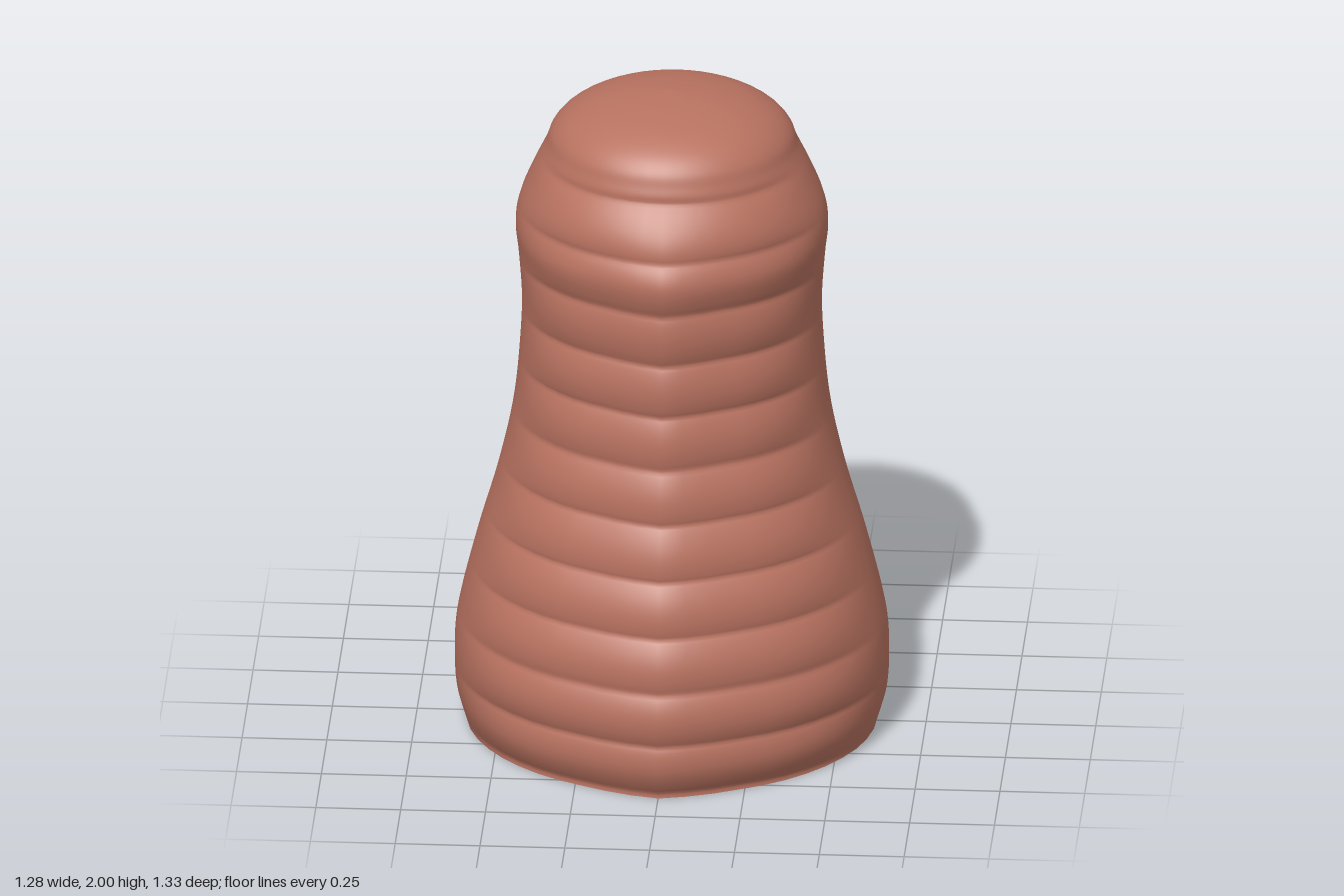
import * as THREE from 'three';
import { mergeVertices } from 'three/addons/utils/BufferGeometryUtils.js';

const smooth = THREE.MathUtils.smoothstep;

// Profile of the body as [radius, height]
const PROFILE = [
  [0.605, 0], [0.632, 0.1], [0.64, 0.2], [0.635, 0.3], [0.617, 0.4], [0.567, 0.6],
  [0.51, 0.8], [0.467, 1.0], [0.447, 1.2], [0.442, 1.35], [0.452, 1.5], [0.46, 1.58],
  [0.45, 1.65], [0.41, 1.75], [0.372, 1.83], [0.355, 1.875], [0.32, 1.915],
  [0.25, 1.955], [0.15, 1.983], [0.07, 1.994], [0, 2],
];

// Rounded folds with narrow grooves, from -1 in a groove to 0 on a fold
const folds = (y, first, spacing) =>
  Math.pow(Math.abs(Math.sin(Math.PI * (y - first) / spacing)), 0.75) - 1;

function bodyGeometry() {
  const curve = new THREE.CatmullRomCurve3(PROFILE.map(([r, y]) => new THREE.Vector3(r, y, 0)));
  const points = curve.getSpacedPoints(260).map(p => new THREE.Vector2(Math.max(p.x, 0), p.y));
  points[points.length - 1].x = 0;
  const geo = new THREE.LatheGeometry(points, 48);
  const pos = geo.attributes.position;
  for (let i = 0; i < pos.count; i++) {
    const x = pos.getX(i), y = pos.getY(i), z = pos.getZ(i);
    const r = Math.hypot(x, z);
    if (r < 1e-5) { pos.setXYZ(i, 0, y, -0.015); continue; }
    const angle = Math.abs(Math.atan2(x, z));
    const facing = Math.cos(angle);
    // wide folds on the front, fine ones on the back, both fading at the sides
    const front = 0.019 * smooth(facing, 0.2, 0.8) * (1 - smooth(y, 1.78, 1.84));
    const back = 0.014 * smooth(-facing, 0.2, 0.7) * (1 - smooth(y, 1.6, 1.8));
    // ridge down the middle of the front
    const ridge = 0.036 * Math.pow(Math.max(0, 1 - angle / 0.42), 1.25) * (1 - smooth(y, 1.5, 1.8));
    const s = (r + ridge + front * (folds(y, 0.175, 0.162) + 0.25)
      + back * (folds(y, 0.035, 0.066) + 0.45)) / r;
    pos.setXYZ(i, x * s, y, z * s - 0.015);
  }
  // weld the seam so the shading stays smooth all round
  geo.deleteAttribute('uv');
  geo.deleteAttribute('normal');
  const welded = mergeVertices(geo, 1e-5);
  welded.computeVertexNormals();
  return welded;
}

export function createModel() {
  const group = new THREE.Group();
  const clay = new THREE.MeshStandardMaterial({ color: 0xb87260, side: THREE.DoubleSide });
  clay.name = 'clay';
  const body = new THREE.Mesh(bodyGeometry(), clay);
  body.name = 'foldedBody';
  group.add(body);
  return group;
}
